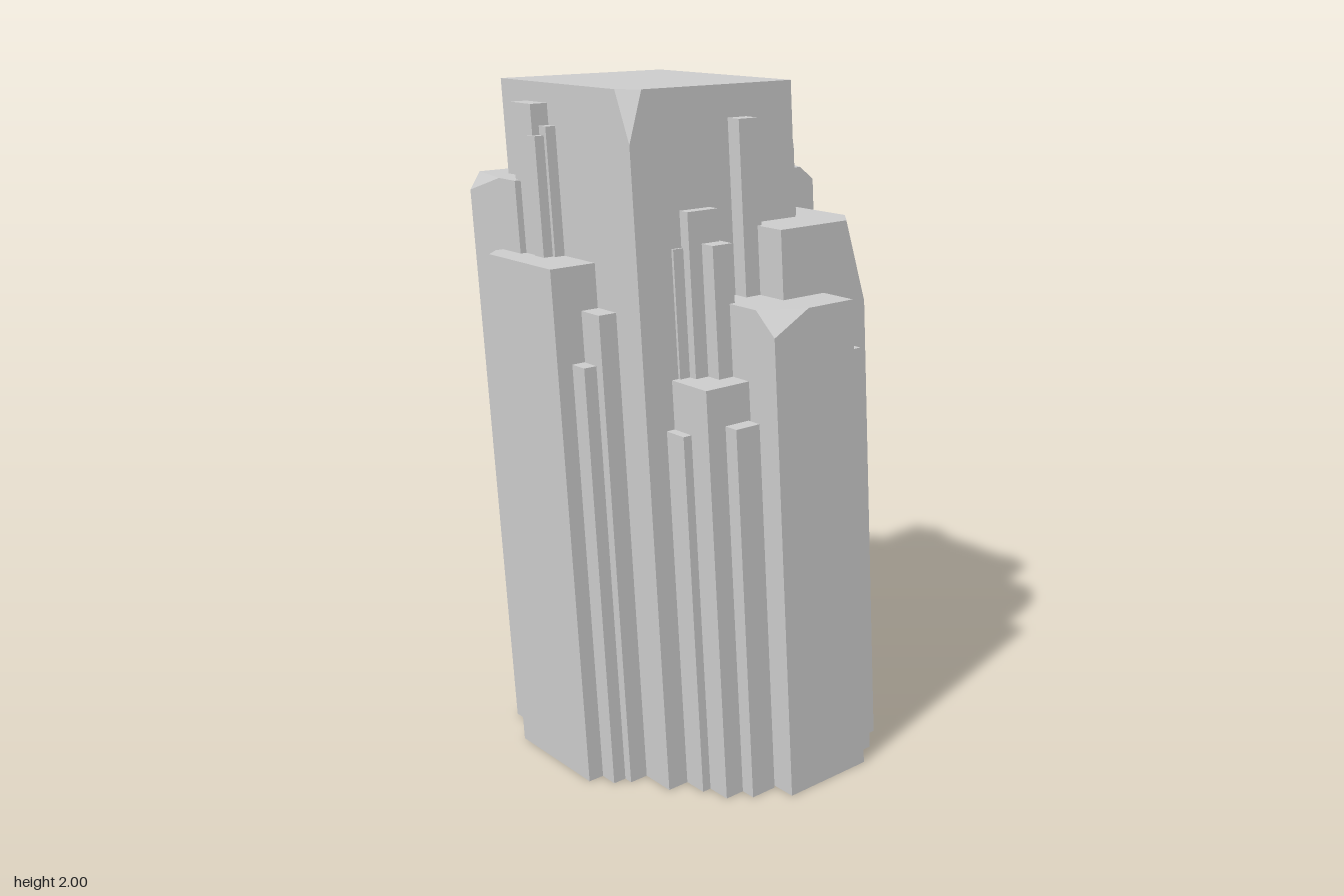
import * as THREE from 'three';

// All columns lean the same way: the foot drifts towards +x and +z
const LEAN_X = 0.023, LEAN_Z = 0.052;
const FRONT_LEFT = 0, FRONT_RIGHT = 1, BACK_RIGHT = 2, BACK_LEFT = 3; // by -x / +x

const material = new THREE.MeshStandardMaterial({
  color: 0xcccccc, flatShading: true, side: THREE.DoubleSide,
});

// Leaning column with an open foot; cut = [corner, dx, dz, drop] slices one top corner
function column(name, x0, x1, z0, z1, top, cut = [0, 0, 0, 0]) {
  const [corner, dx, dz, drop] = cut;
  const ring = [[x0, z1], [x1, z1], [x1, z0], [x0, z0]];
  const c = [0, 1, 2, 3].map((i) => ring[(i + corner) % 4]);
  const at = ([x, z], y) => [x + LEAN_X * (top - y), y, z + LEAN_Z * (top - y)];
  // point on the top edge from the cut corner towards another corner
  const along = (to) => [
    c[0][0] + Math.sign(to[0] - c[0][0]) * dx,
    c[0][1] + Math.sign(to[1] - c[0][1]) * dz,
  ];
  const foot = c.map((p) => at(p, 0));
  const head = c.map((p) => at(p, top));
  const a = at(along(c[1]), top), b = at(along(c[3]), top), p = at(c[0], top - drop);
  const faces = [
    [foot[1], head[1], a, p, foot[0]],
    [foot[1], foot[2], head[2], head[1]],
    [foot[2], foot[3], head[3], head[2]],
    [foot[3], foot[0], p, b, head[3]],
    [head[2], head[3], b, a, head[1]],
  ];
  if (drop > 0) faces.push([a, b, p]);
  const positions = [];
  for (const f of faces) {
    for (let i = 1; i < f.length - 1; i++) positions.push(...f[0], ...f[i], ...f[i + 1]);
  }
  const geometry = new THREE.BufferGeometry();
  geometry.setAttribute('position', new THREE.Float32BufferAttribute(positions, 3));
  geometry.computeVertexNormals();
  const mesh = new THREE.Mesh(geometry, material);
  mesh.name = name;
  return mesh;
}

export function createModel() {
  const model = new THREE.Group();
  model.name = 'rockColumns';

  // Large columns, most with one sliced corner
  model.add(
    column('mainColumn', -0.395, 0.19, -0.4, 0.185, 2, [FRONT_LEFT, 0.05, 0.05, 0.14]),
    column('leftColumn', -0.533, -0.19, -0.32, 0.02, 1.525, [BACK_LEFT, 0.048, 0.04, 0.25]),
    column('backLeftColumn', -0.465, -0.23, -0.48, -0.24, 1.73, [BACK_LEFT, 0.037, 0.16, 0.05]),
    column('backColumn', -0.13, 0.165, -0.547, -0.25, 1.43, [BACK_LEFT, 0.065, 0.05, 0.34]),
    column('backRightColumn', 0.05, 0.29, -0.46, -0.22, 1.58),
    column('cutBackRightColumn', 0.12, 0.355, -0.355, -0.12, 1.34, [BACK_RIGHT, 0.06, 0.045, 0.33]),
    column('rightColumn', 0.07, 0.41, -0.285, 0.055, 1.73, [FRONT_RIGHT, 0.05, 0.125, 0.04]),
    column('frontRightSideColumn', 0.29, 0.5, -0.045, 0.165, 1.41, [FRONT_RIGHT, 0.08, 0.06, 0.17]),
    column('frontRightColumn', 0.01, 0.33, 0.025, 0.345, 1.615, [FRONT_RIGHT, 0.065, 0.07, 0.24]),
    column('frontColumn', -0.13, 0.17, 0.17, 0.47, 1.42, [FRONT_LEFT, 0.13, 0.07, 0.065]),
    column('frontLeftColumn', -0.28, -0.06, 0.15, 0.37, 1.215),
  );

  // Thin columns standing against the large ones: x0, x1, z0, z1, top
  const groups = {
    frontSplinter: [
      [-0.215, -0.13, 0.34, 0.42, 1.105],
      [-0.305, -0.23, 0.23, 0.305, 1.075],
      [-0.265, -0.23, 0.18, 0.215, 1.575],
      [-0.232, -0.125, 0.13, 0.235, 1.675],
      [-0.185, -0.115, 0.215, 0.285, 1.585],
      [-0.05, 0.018, 0.165, 0.235, 1.91],
      [0.165, 0.255, 0.34, 0.425, 1.26],
      [0.335, 0.43, 0.16, 0.255, 1.24],
      [0.32, 0.38, 0.255, 0.315, 1.1],
    ],
    rightSplinter: [
      [0.18, 0.24, 0.06, 0.12, 1.96],
      [0.17, 0.25, -0.345, -0.265, 1.96],
      [0.18, 0.22, 0.13, 0.17, 1.82],
      [0.19, 0.23, 0.045, 0.07, 1.835],
      [0.42, 0.46, -0.08, -0.04, 1.26],
    ],
    leftSplinter: [
      [-0.45, -0.35, -0.275, -0.175, 1.945],
      [-0.455, -0.41, -0.195, -0.15, 1.86],
      [-0.425, -0.39, -0.175, -0.14, 1.885],
      [-0.478, -0.43, 0.035, 0.09, 1.255],
      [-0.44, -0.36, 0.03, 0.11, 1.4],
      [-0.478, -0.44, -0.352, -0.31, 1.15],
    ],
    backSplinter: [
      [-0.07, 0.007, -0.46, -0.385, 1.94],
      [-0.097, -0.065, -0.425, -0.39, 1.8],
      [0.02, 0.05, -0.425, -0.39, 1.755],
      [-0.225, -0.185, -0.415, -0.375, 1.6],
      [-0.22, -0.13, -0.475, -0.385, 1.14],
      [-0.22, -0.13, -0.43, -0.34, 1.34],
      [0.165, 0.235, -0.495, -0.425, 1.26],
    ],
  };
  for (const [name, list] of Object.entries(groups)) {
    list.forEach((s, i) => model.add(column(name + (i + 1), ...s)));
  }
  return model;
}
